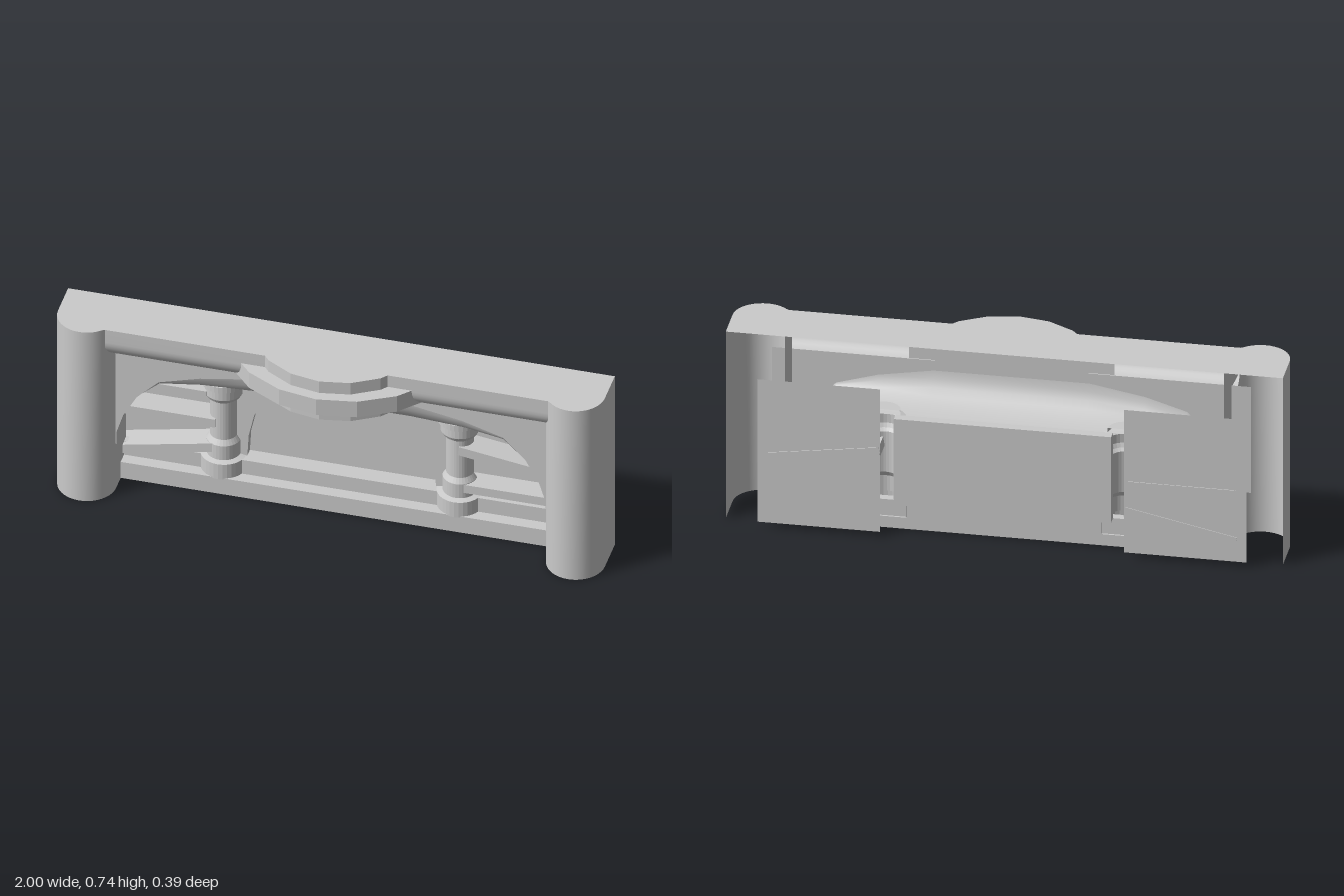
import * as THREE from 'three';

const mat = new THREE.MeshStandardMaterial({ color: 0xcccccc, side: THREE.DoubleSide });
const flat = new THREE.MeshStandardMaterial({ color: 0xcccccc, side: THREE.DoubleSide, flatShading: true });
const H = 0.74, BACK = -0.143, FLANK = 0.788;

function add(parent, name, geo, material = flat) {
  const mesh = new THREE.Mesh(geo, material);
  mesh.name = name;
  parent.add(mesh);
  return mesh;
}

// Box given by its extents
function box(parent, name, x0, x1, y0, y1, z0, z1) {
  const m = add(parent, name, new THREE.BoxGeometry(x1 - x0, y1 - y0, z1 - z0));
  m.position.set((x0 + x1) / 2, (y0 + y1) / 2, (z0 + z1) / 2);
}

const shape = (pts) => new THREE.Shape(pts.map(([x, y]) => new THREE.Vector2(x, y)));

// Open smooth surface through equal rows of [x, y, z] points
function loft(rows) {
  const n = rows[0].length, idx = [];
  for (let j = 0; j < rows.length - 1; j++) {
    for (let i = 0; i < n - 1; i++) {
      const a = j * n + i, b = a + n;
      idx.push(a, b, a + 1, a + 1, b, b + 1);
    }
  }
  const g = new THREE.BufferGeometry();
  g.setAttribute('position', new THREE.Float32BufferAttribute(rows.flat(2), 3));
  g.setIndex(idx);
  g.computeVertexNormals();
  return g;
}

// Bowed slab: plan is an arc about (0, cz) cut off at z = 0, raised from y0 to y1
function bow(cz, r, y0, y1, n = 6) {
  const half = Math.acos(-cz / r), pts = [];
  for (let i = 0; i <= n; i++) {
    const t = -half + (2 * half * i) / n;
    pts.push([r * Math.sin(t), -cz - r * Math.cos(t)]);
  }
  const g = new THREE.ExtrudeGeometry(shape(pts), { depth: y1 - y0, bevelEnabled: false });
  return g.rotateX(-Math.PI / 2).translate(0, y0, 0);
}

// Rounded front of a pier in plan, running from +x to -x
function pierArc(side, n = 20) {
  const pts = [];
  for (let i = 0; i <= n; i++) {
    const t = (Math.PI * i) / n;
    pts.push([side * 0.894 + 0.106 * Math.cos(t), -0.008 + 0.106 * Math.sin(t)]);
  }
  return pts;
}

export function createModel() {
  const root = new THREE.Group();
  root.name = 'facadeBase';

  // Hollow rounded piers at both ends
  for (const side of [1, -1]) {
    const arc = pierArc(side).reverse();
    const at = (y) => arc.map(([x, z]) => [x, y, z]);
    add(root, 'pierFront', loft([at(H), at(0)]), mat);
    for (const x of [1, FLANK]) {
      const wall = add(root, 'pierSide', new THREE.PlaneGeometry(-0.008 - BACK, H));
      wall.rotation.y = (x === 1 ? side : -side) * Math.PI / 2;
      wall.position.set(side * x, H / 2, (BACK - 0.008) / 2);
    }
  }

  // Thin roof following piers and beam
  const outer = pierArc(1).filter(([x, z]) => x > 0.89 || z > 0.062);
  const plan = [[1, BACK], ...outer, [0.81, 0.062]].map(([x, z]) => [x, -z]);
  const roof = shape([...plan, ...plan.map(([x, y]) => [-x, y]).reverse()]);
  add(root, 'roof', new THREE.ShapeGeometry(roof).rotateX(-Math.PI / 2).translate(0, H, 0));

  // Beam with a rounded lower edge
  const beam = [[0.062, H], [0.062, 0.685]];
  for (let i = 1; i <= 8; i++) {
    const t = (Math.PI / 2) * (i / 8);
    beam.push([0.062 * Math.cos(t), 0.685 - 0.073 * Math.sin(t)]);
  }
  add(root, 'beam', loft([-0.81, 0.81].map((x) => beam.map(([z, y]) => [x, y, z])).reverse()), mat);

  // Three bowed tiers in the middle of the beam
  add(root, 'bowLower', bow(-0.158, 0.318, 0.573, 0.622));
  add(root, 'bowMiddle', bow(-0.24, 0.44, 0.622, 0.69));
  add(root, 'bowUpper', bow(-0.158, 0.318, 0.69, H));

  // Wide arch: front wall, and a rounded soffit dropping to a level lintel
  const half = [[0.785, 0.25], [0.76, 0.33], [0.71, 0.42], [0.63, 0.5], [0.48, 0.545], [0.28, 0.58]];
  const arch = [...half.map(([x, y]) => [-x, y]), ...half.slice().reverse()];
  add(root, 'archWall', new THREE.ShapeGeometry(
    shape([[-0.86, 0.62], [-0.86, 0.2], [-0.785, 0.2], ...arch, [0.785, 0.2], [0.86, 0.2], [0.86, 0.62]])));
  const soffitRows = [];
  for (let j = 0; j <= 6; j++) {
    const t = (Math.PI / 2) * (j / 6);
    soffitRows.push(arch.map(([x, y]) =>
      [x, y - Math.max(0, y - 0.465) * Math.sin(t), -0.14 * (1 - Math.cos(t))]));
  }
  add(root, 'archSoffit', loft(soffitRows), mat);

  // Plinth, tread and step
  box(root, 'plinth', -0.83, 0.83, 0, 0.07, -0.11, -0.07);
  box(root, 'tread', -FLANK, FLANK, 0.06, 0.07, BACK, -0.11);
  box(root, 'step', -FLANK, FLANK, 0.07, 0.13, -0.146, -0.115);

  // Half-round columns
  const profile = [[0, 0.065], [0.083, 0.065], [0.083, 0.13], [0.062, 0.135], [0.062, 0.195], [0.05, 0.215],
    [0.05, 0.375], [0.062, 0.385], [0.07, 0.4], [0.07, 0.435], [0.08, 0.44], [0.08, 0.465], [0.06, 0.47],
    [0.06, 0.488], [0, 0.488]].map(([r, y]) => new THREE.Vector2(r, y));
  for (const side of [1, -1]) {
    const col = add(root, 'column', new THREE.LatheGeometry(profile, 16, -Math.PI / 2, Math.PI));
    col.position.set(side * 0.432, 0, -0.15);
  }

  // Central recess with an arched opening and a back panel
  const frame = shape([[-0.39, 0.128], [0.39, 0.128], [0.39, 0.468], [-0.39, 0.468]]);
  const opening = [[0.345, 0.13], [0.34, 0.22], [0.32, 0.31], [0.28, 0.4], [0.21, 0.465]];
  frame.holes.push(new THREE.Path([...opening, ...opening.map(([x, y]) => [-x, y]).reverse()]
    .map(([x, y]) => new THREE.Vector2(x, y))));
  add(root, 'recessFrame', new THREE.ExtrudeGeometry(frame, { depth: 0.035, bevelEnabled: false }))
    .position.z = -0.18;
  add(root, 'recessPanel', new THREE.PlaneGeometry(0.78, 0.34)).position.set(0, 0.298, -0.182);

  // Backdrop panels behind the side bays
  for (const side of [1, -1]) {
    add(root, 'sidePanel', new THREE.PlaneGeometry(0.44, 0.565)).position.set(side * 0.658, 0.302, -0.187);
  }

  // Shelves in the side bays: [x0, yCentre0, x1, yCentre1, thickness, back z]
  const shelves = [
    [-0.84, 0.41, -0.48, 0.41, 0.02, -0.178], [-0.84, 0.285, -0.45, 0.285, 0.035, -0.19],
    [-0.84, 0.098, -0.44, 0.182, 0.036, -0.19], [0.44, 0.337, 0.84, 0.28, 0.036, -0.19],
    [0.46, 0.175, 0.84, 0.175, 0.035, -0.178],
  ];
  for (const [x0, y0, x1, y1, t, back] of shelves) {
    const depth = -0.095 - back;
    const m = add(root, 'shelf', new THREE.BoxGeometry(Math.hypot(x1 - x0, y1 - y0), t, depth));
    m.position.set((x0 + x1) / 2, (y0 + y1) / 2, back + depth / 2);
    m.rotation.z = Math.atan2(y1 - y0, x1 - x0);
  }
  return root;
}
